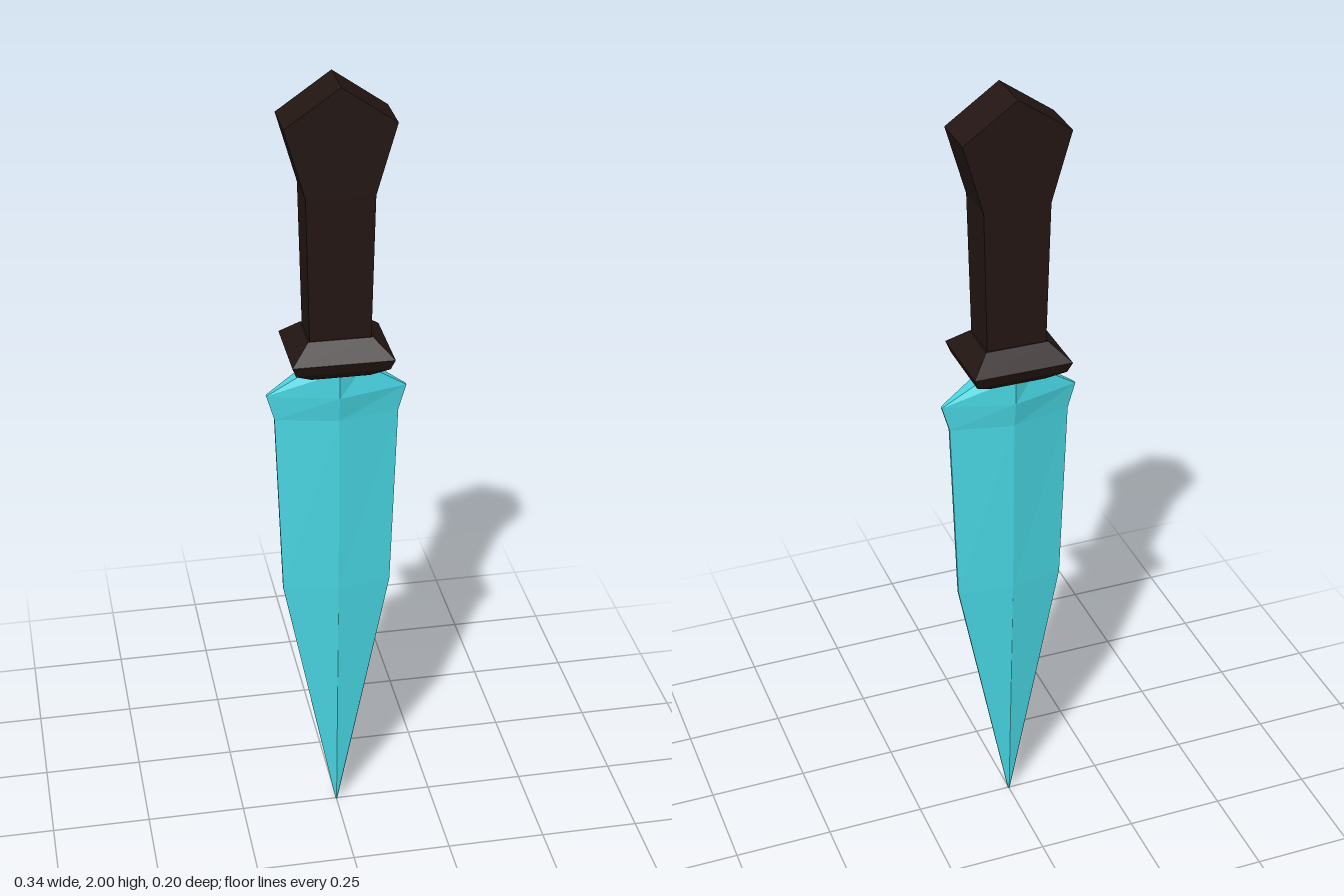
import * as THREE from 'three';

const steel = new THREE.MeshStandardMaterial({ color: 0x48d6e2, flatShading: true });
const grip = new THREE.MeshStandardMaterial({ color: 0x231613, flatShading: true });

// Skin a stack of closed rings (each counter-clockwise from above), bottom to top, with end caps.
function loft(name, rings, material) {
  const n = rings[0].length;
  const index = [];
  for (let r = 0; r < rings.length - 1; r++) {
    for (let i = 0; i < n; i++) {
      const a = r * n + i, b = r * n + (i + 1) % n;
      index.push(a, b, b + n, a, b + n, a + n);
    }
  }
  const top = (rings.length - 1) * n;
  for (let i = 1; i < n - 1; i++) {
    index.push(0, i + 1, i, top, top + i, top + i + 1);
  }
  const indexed = new THREE.BufferGeometry();
  indexed.setAttribute('position', new THREE.Float32BufferAttribute(rings.flat(2), 3));
  indexed.setIndex(index);
  const geometry = indexed.toNonIndexed();
  geometry.computeVertexNormals();
  const mesh = new THREE.Mesh(geometry, material);
  mesh.name = name;
  return mesh;
}

// Diamond section with narrow blunt edges and a central ridge
const bladeRing = ([y, w, edge, ridge]) => [
  [w, y, edge], [w, y, -edge], [0, y, -ridge],
  [-w, y, -edge], [-w, y, edge], [0, y, ridge],
];

const boxRing = ([y, w, d]) => [[w, y, d], [w, y, -d], [-w, y, -d], [-w, y, d]];

// Flat-sided handle with a flared, peaked pommel, slightly thinner towards the guard
function makeHandle() {
  const half = [[0.073, 1.37], [0.081, 1.74], [0.13, 1.91]];
  const outline = [
    ...half, [0, 2],
    ...half.map(([x, y]) => [-x, y]).reverse(),
  ].map(([x, y]) => new THREE.Vector2(x, y));
  const geometry = new THREE.ExtrudeGeometry(new THREE.Shape(outline), { depth: 2, bevelEnabled: false });
  geometry.translate(0, 0, -1);
  const p = geometry.attributes.position;
  for (let i = 0; i < p.count; i++) {
    p.setZ(i, p.getZ(i) * THREE.MathUtils.mapLinear(p.getY(i), 1.37, 2, 0.054, 0.06));
  }
  geometry.computeVertexNormals();
  const mesh = new THREE.Mesh(geometry, grip);
  mesh.name = 'handle';
  return mesh;
}

export function createModel() {
  const group = new THREE.Group();
  group.name = 'dagger';

  // Blade: y, half width, half edge thickness, half ridge thickness
  group.add(loft('blade', [
    [0, 0.002, 0.002, 0.004],
    [0.68, 0.135, 0.004, 0.031],
    [1.16, 0.151, 0.004, 0.039],
    [1.225, 0.17, 0.004, 0.049],
    [1.295, 0.065, 0.02, 0.05],
  ].map(bladeRing), steel));

  // Guard: y, half width, half depth
  group.add(loft('guard', [
    [1.288, 0.07, 0.06],
    [1.315, 0.112, 0.092],
    [1.342, 0.122, 0.102],
    [1.385, 0.077, 0.057],
  ].map(boxRing), grip));

  group.add(makeHandle());
  return group;
}
